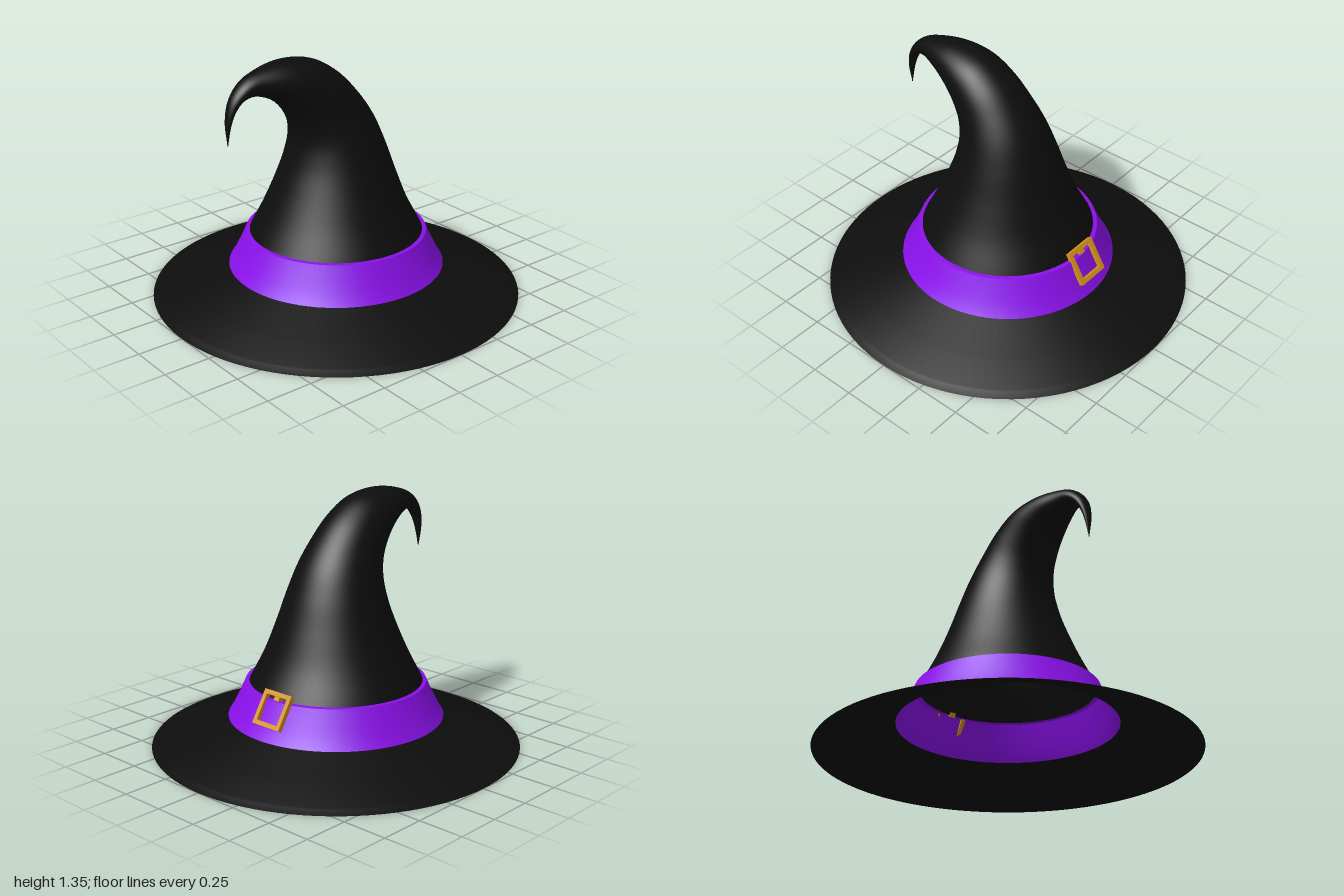
import * as THREE from 'three';

const mat = (color) => new THREE.MeshStandardMaterial({ color, side: THREE.DoubleSide });

function part(name, geometry, material) {
  const mesh = new THREE.Mesh(geometry, material);
  mesh.name = name;
  return mesh;
}

const curve = (pts) => new THREE.CatmullRomCurve3(pts.map(([x, y]) => new THREE.Vector3(x, y, 0)));

// Bent cone: round sections spanning an inner and an outer profile curve
function crownGeometry(inner, outer, rings, sides) {
  const pos = [], index = [];
  for (let j = 0; j <= rings; j++) {
    const a = inner.getPoint(j / rings), b = outer.getPoint(j / rings);
    const centre = a.clone().add(b).multiplyScalar(0.5);
    const half = b.clone().sub(a).multiplyScalar(0.5);
    const r = half.length();
    for (let i = 0; i < sides; i++) {
      const t = (i / sides) * Math.PI * 2;
      pos.push(centre.x + half.x * Math.cos(t), centre.y + half.y * Math.cos(t), r * Math.sin(t));
      if (j === rings) continue;
      const p = j * sides + i, q = j * sides + (i + 1) % sides;
      index.push(p, p + sides, q, q, p + sides, q + sides);
    }
  }
  const g = new THREE.BufferGeometry();
  g.setAttribute('position', new THREE.Float32BufferAttribute(pos, 3));
  g.setIndex(index);
  g.computeVertexNormals();
  return g;
}

const lathe = (pts) => new THREE.LatheGeometry(pts.map(([r, y]) => new THREE.Vector2(r, y)), 96);

const rect = (path, w, h) => path.moveTo(-w / 2, -h / 2).lineTo(w / 2, -h / 2)
  .lineTo(w / 2, h / 2).lineTo(-w / 2, h / 2).closePath();

export function createModel() {
  const hat = new THREE.Group();
  hat.name = 'witchHat';
  const black = mat(0x0d0d0d), purple = mat(0x8a10ea), gold = mat(0xd4921a);

  // Crown with its curled tip
  const inner = curve([
    [-0.468, 0.35], [-0.394, 0.495], [-0.324, 0.654], [-0.28, 0.777], [-0.26, 0.895],
    [-0.276, 0.987], [-0.324, 1.072], [-0.394, 1.142], [-0.474, 1.185], [-0.55, 1.2],
    [-0.609, 1.18], [-0.646, 1.13], [-0.667, 1.062], [-0.681, 0.968],
  ]);
  const outer = curve([
    [0.466, 0.35], [0.383, 0.51], [0.319, 0.676], [0.255, 0.853], [0.185, 1.003],
    [0.088, 1.137], [-0.019, 1.244], [-0.153, 1.324], [-0.314, 1.351], [-0.474, 1.33],
    [-0.582, 1.287], [-0.657, 1.206], [-0.689, 1.1], [-0.684, 0.968],
  ]);
  hat.add(part('crown', crownGeometry(inner, outer, 78, 64), black));

  // Sloping brim with a thin stepped hem
  hat.add(part('brim', lathe([[1, 0], [0.962, 0.014], [0.955, 0.021], [0.8, 0.077], [0.58, 0.157]]), black));

  // Flared band, its top lip meeting the crown
  hat.add(part('band', lathe([[0.584, 0.156], [0.562, 0.19], [0.542, 0.23], [0.515, 0.285], [0.488, 0.348]]), purple));
  hat.add(part('bandLip', lathe([[0.488, 0.348], [0.464, 0.35]]), purple));

  // Buckle on the left side, leaning with the band
  const buckle = new THREE.Group();
  buckle.name = 'buckle';
  const shape = rect(new THREE.Shape(), 0.19, 0.19);
  shape.holes.push(rect(new THREE.Path(), 0.143, 0.143));
  const frame = new THREE.ExtrudeGeometry(shape, { depth: 0.025, bevelEnabled: false });
  frame.translate(0, 0, -0.0125).rotateY(Math.PI / 2);
  buckle.add(part('buckleFrame', frame, gold));
  const prong = part('buckleProng', new THREE.BoxGeometry(0.03, 0.025, 0.035), gold);
  prong.position.set(-0.008, 0.062, 0);
  buckle.add(prong);
  buckle.position.set(0.51, 0.31, -0.035);
  buckle.rotation.z = 0.55;
  hat.add(buckle);

  return hat;
}
